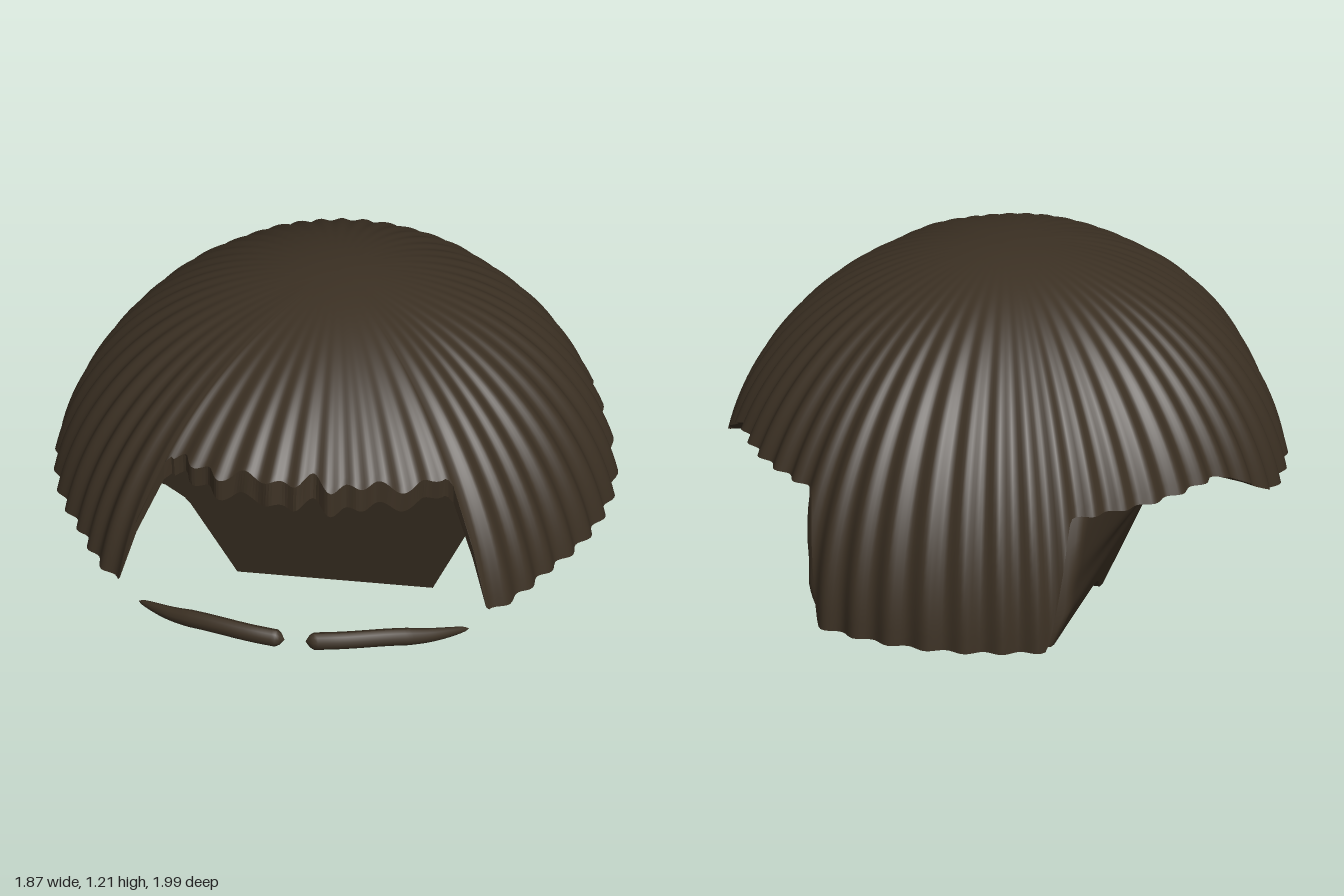
import * as THREE from 'three';

const TOP = 1.21, LOCKS = 50, SEGS = 480, ROWS = 32;
const { lerp, smoothstep, clamp, radToDeg } = THREE.MathUtils;

// Smoothed lookup in a short list of [position, value] pairs
function look(table, t) {
  let i = 0;
  while (i < table.length - 2 && t > table[i + 1][0]) i++;
  const [a, va] = table[i], [b, vb] = table[i + 1];
  return lerp(va, vb, smoothstep(t, a, b));
}

// All by angle from the front (0) to the back (180)
const radiusAt = [[0, 1.06], [37, 1.01], [60, 0.945], [90, 0.94], [115, 0.93], [137, 0.95], [156, 0.98], [180, 0.985]];
const baseAt = [[0, 0.25], [115, 0.25], [156, 0.17], [180, 0.17]];
const sideRim = [[38.5, 0.44], [88, 0.435], [113, 0.6], [150, 0.6], [157, 0.17], [180, 0.17]];
const outerRim = [[0, 0.9], [36.5, 0.86], ...sideRim];
const innerRim = [[0, 0.81], [36.5, 0.79], ...sideRim];
const fringeDepth = [[0, 0.07], [36, 0.06], [38.5, 0], [180, 0]];
// Inner edge of the flat underside, where it meets the nape
const undersideX = [[38.5, 0.67], [80, 0.67], [92, 0.5], [149, 0.42], [157, 0.36], [180, 0]];
const undersideZ = [[38.5, 0.18], [80, 0.18], [92, 0.08], [149, -0.72], [157, -0.85], [180, -0.85]];

const degrees = (theta) => Math.abs(radToDeg(Math.atan2(Math.sin(theta), Math.cos(theta))));
const angles = Array.from({ length: SEGS }, (_, i) => (i / SEGS) * Math.PI * 2);

// One ring of the cap, s = 0 at the crown and 1 at the rim
function capRing(s, rimTable, depth) {
  return angles.map((theta) => {
    const d = degrees(theta), y0 = look(baseAt, d), h = TOP - y0;
    let rim = look(rimTable, d);
    if (d < 36) rim += 0.012 * Math.sin(theta * 41) + 0.01 * Math.sin(theta * 23 + 1);
    const phi = s * Math.acos(clamp((rim - y0) / h, 0, 1));
    const wave = 0.012 * Math.cos(theta * LOCKS + 0.4 * Math.sin(theta * 7) + 0.8 * Math.sin(phi * 2));
    const r = look(radiusAt, d) * Math.sin(phi) + wave * smoothstep(Math.sin(phi), 0.1, 0.95) - depth(d);
    return [r * Math.sin(theta), y0 + h * Math.cos(phi), r * Math.cos(theta)];
  });
}

// Far edge of the underside: back of the face opening, then the nape
function undersideRing(rimRing) {
  return rimRing.map(([x, y], i) => {
    const d = degrees(angles[i]);
    if (d <= 38.5) return [x * 1.08, y, 0.05 + 0.3 * y];
    return [Math.sign(x) * look(undersideX, d), y, look(undersideZ, d)];
  });
}

// Skin a list of closed rings
function band(rings, sharp) {
  const index = [];
  for (let j = 0; j < rings.length - 1; j++) {
    for (let i = 0; i < SEGS; i++) {
      const a = j * SEGS + i, b = j * SEGS + (i + 1) % SEGS;
      index.push(a, a + SEGS, b, b, a + SEGS, b + SEGS);
    }
  }
  let geo = new THREE.BufferGeometry();
  geo.setAttribute('position', new THREE.Float32BufferAttribute(rings.flat(2), 3));
  geo.setIndex(index);
  if (sharp) geo = geo.toNonIndexed();
  geo.computeVertexNormals();
  return geo;
}

// Solid mass of hair inside the cap, reaching down to the nape
function napeGeometry() {
  const geo = new THREE.BoxGeometry(2, 1, 1, 24, 36, 32);
  const p = geo.attributes.position;
  for (let i = 0; i < p.count; i++) {
    const u = p.getX(i), v = p.getY(i) + 0.5, w = 0.5 - p.getZ(i);
    const zLow = lerp(0.05, -0.9, w);
    const low = 0.17 * smoothstep(-zLow, -0.07, 0.38);
    const y = lerp(low, 1, v);
    const up = Math.max(0, y - 0.17) / 1.04;
    const z = lerp(0.05 + 0.3 * y, -0.93 * Math.sqrt(1 - up * up), w);
    const side = 0.325 + 0.43 * y + 0.05 * smoothstep(y, 0.34, 0.44);
    const flare = 0.13 * smoothstep(y, 0.43, 0.46) * (1 - smoothstep(w, 0, 0.12));
    const x = u * Math.min(0.7, lerp(side, Math.min(side, 0.45), w) + flare);
    // keep within the cap
    const d = degrees(Math.atan2(x, z)), y0 = look(baseAt, d);
    const k = Math.max(0, y - y0) / (TOP - y0);
    const limit = (look(radiusAt, d) - 0.04) * Math.sqrt(1 - k * k);
    const f = Math.min(1, limit / Math.max(0.001, Math.hypot(x, z)));
    p.setXYZ(i, x * f, y, z * f);
  }
  geo.computeVertexNormals();
  return geo;
}

// Tapered brow, side = 1 for left and -1 for right
function browGeometry(side) {
  const n = 40, radial = 10;
  const curve = new THREE.CatmullRomCurve3([
    [0.035, 0.4, 0.972], [0.15, 0.405, 0.957], [0.3, 0.4, 0.91], [0.43, 0.38, 0.85], [0.55, 0.36, 0.765],
  ].map(([x, y, z]) => new THREE.Vector3(side * x, y, z)));
  const geo = new THREE.TubeGeometry(curve, n, 0.029, radial);
  const p = geo.attributes.position, v = new THREE.Vector3();
  for (let i = 0; i < p.count; i++) {
    const t = Math.floor(i / (radial + 1)) / n;
    const c = curve.getPointAt(t);
    const taper = Math.min(1, Math.sqrt(t * 20)) * Math.min(1, Math.sqrt((1 - t) * 2.5));
    v.fromBufferAttribute(p, i).sub(c).multiplyScalar(taper).add(c);
    p.setXYZ(i, v.x, v.y, v.z);
  }
  geo.computeVertexNormals();
  return geo;
}

export function createModel() {
  const model = new THREE.Group();
  model.name = 'bowlHaircut';
  const hair = new THREE.MeshStandardMaterial({ color: 0x3b3023 });
  hair.name = 'darkBrownHair';
  const add = (name, geo, parent = model) => {
    const mesh = new THREE.Mesh(geo, hair);
    mesh.name = name;
    parent.add(mesh);
  };

  // Ribbed cap: outside, then cut fringe, face opening and flat underside
  const cap = new THREE.Group();
  cap.name = 'hairCap';
  model.add(cap);
  const outer = [];
  for (let j = 0; j <= ROWS; j++) outer.push(capRing(j / ROWS, outerRim, () => 0));
  const fringe = capRing(1, innerRim, (d) => look(fringeDepth, d));
  add('capOutside', band(outer, false), cap);
  add('fringeEdge', band([outer[ROWS], fringe], true), cap);
  add('capUnderside', band([fringe, undersideRing(fringe)], true), cap);

  add('napeHair', napeGeometry());

  add('leftEyebrow', browGeometry(1));
  add('rightEyebrow', browGeometry(-1));
  return model;
}
